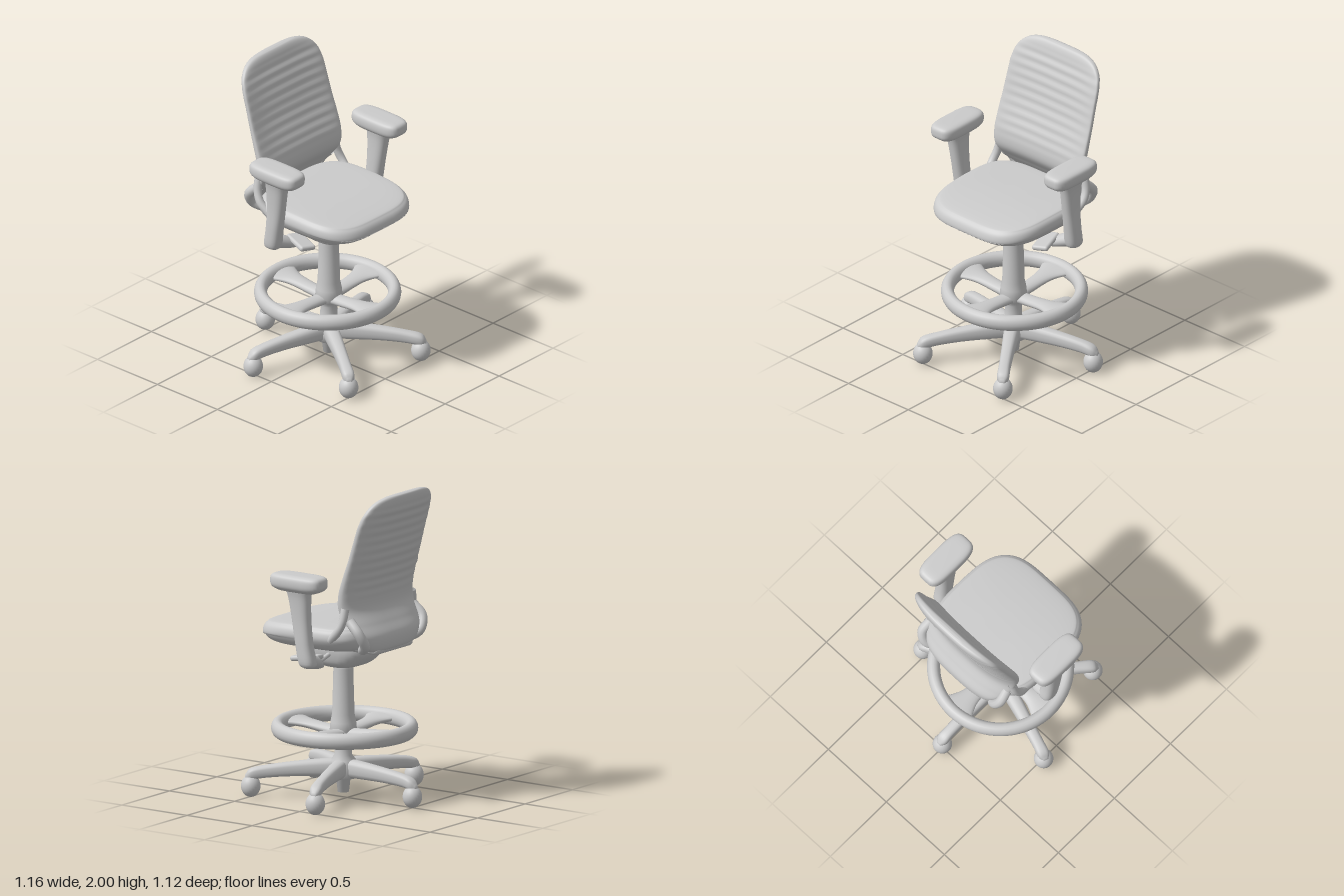
import * as THREE from 'three';
import { RoundedBoxGeometry } from 'three/addons/geometries/RoundedBoxGeometry.js';

const material = new THREE.MeshStandardMaterial({ color: 0xcccccc, side: THREE.DoubleSide });
const V = (x, y, z) => new THREE.Vector3(x, y, z);
const spow = (v, e) => Math.sign(v) * Math.abs(v) ** e;

// Lofts superellipse sections upward. Row: [y, halfWidth, halfDepth, centreX, centreZ].
// "bend(point)" optionally displaces every vertex.
function loft(rows, { power = 1, steps = 24, sides = 32, bend } = {}) {
  const size = new THREE.CatmullRomCurve3(rows.map(r => V(r[0], r[1], r[2])), false, 'catmullrom', 0.5);
  const centre = new THREE.CatmullRomCurve3(rows.map(r => V(r[3] || 0, 0, r[4] || 0)), false, 'catmullrom', 0.5);
  const pos = [], index = [];
  const push = p => { if (bend) bend(p); pos.push(p.x, p.y, p.z); };
  for (let i = 0; i <= steps; i++) {
    const s = size.getPoint(i / steps), c = centre.getPoint(i / steps);
    for (let j = 0; j < sides; j++) {
      const a = j / sides * Math.PI * 2;
      push(V(c.x + s.y * spow(Math.sin(a), power), s.x, c.z + s.z * spow(Math.cos(a), power)));
      if (i < steps) {
        const k = (j + 1) % sides, o = i * sides, n = o + sides;
        index.push(o + j, o + k, n + j, o + k, n + k, n + j);
      }
    }
  }
  const base = (steps + 1) * sides;
  for (const i of [0, steps]) {
    const s = size.getPoint(i / steps), c = centre.getPoint(i / steps);
    push(V(c.x, s.x, c.z));
    for (let j = 0; j < sides; j++) {
      const a = i * sides + j, b = i * sides + (j + 1) % sides;
      if (i) index.push(base + 1, a, b); else index.push(base, b, a);
    }
  }
  const g = new THREE.BufferGeometry();
  g.setAttribute('position', new THREE.Float32BufferAttribute(pos, 3));
  g.setIndex(index);
  g.computeVertexNormals();
  return g;
}

const tube = (points, r) =>
  new THREE.TubeGeometry(new THREE.CatmullRomCurve3(points), 24, r, 12);

function add(parent, name, geometry, x = 0, y = 0, z = 0) {
  const mesh = new THREE.Mesh(geometry, material);
  mesh.name = name;
  mesh.position.set(x, y, z);
  parent.add(mesh);
  return mesh;
}

function makeArm() {
  const arm = new THREE.Group();
  add(arm, 'armPad', loft([
    [1.39, 0.03, 0.07], [1.395, 0.06, 0.14], [1.42, 0.085, 0.183], [1.455, 0.091, 0.19],
    [1.485, 0.084, 0.183], [1.498, 0.06, 0.15], [1.5, 0.02, 0.05]], { power: 0.55 }), 0.474, 0, 0.025);
  add(arm, 'armPost', loft([
    [0.905, 0.025, 0.03, 0.445, -0.03], [0.935, 0.05, 0.055, 0.452, -0.028], [1.05, 0.048, 0.056, 0.46, -0.008],
    [1.2, 0.046, 0.062, 0.464, 0.01], [1.34, 0.05, 0.075, 0.47, 0.02], [1.41, 0.06, 0.09, 0.473, 0.025]],
    { power: 0.8 }));
  // Elbow tapering down and inward, with a thin bar to the mechanism
  add(arm, 'armElbow', loft([
    [0, 0.045, 0.05, 0, 0], [0.08, 0.042, 0.058, 0, 0.01], [0.15, 0.032, 0.045, 0, 0.03], [0.22, 0.012, 0.02, 0, 0.045]],
    { sides: 20 }).rotateZ(Math.PI / 2 + 0.38), 0.455, 0.96, -0.03);
  add(arm, 'armBar', tube([V(0.32, 0.91, 0), V(0.25, 0.92, 0.01), V(0.15, 0.94, 0.02)], 0.014));
  const lever = add(arm, 'lever', new RoundedBoxGeometry(0.11, 0.035, 0.19, 4, 0.016), 0.315, 0.935, 0.08);
  lever.rotation.set(0.1, 0.3, 0.1);
  // Brackets tying the edge of the backrest to the seat
  add(arm, 'backBracket', tube([V(0.35, 1.29, -0.24), V(0.37, 1.2, -0.23), V(0.38, 1.14, -0.2), V(0.37, 1.08, -0.14)], 0.026));
  add(arm, 'rearBracket', tube([V(0.33, 1.21, -0.26), V(0.335, 1.14, -0.33), V(0.29, 1.06, -0.345), V(0.22, 1.01, -0.28)], 0.032));
  return arm;
}

export function createModel() {
  const chair = new THREE.Group();
  chair.name = 'drafting chair';
  const axisZ = 0.03;

  // Five-legged base with ball casters, one leg pointing straight back
  [0.535, 0.546, 0.57, 0.57, 0.546].forEach((reach, i) => {
    const leg = new THREE.Group();
    leg.name = 'baseLeg';
    leg.position.z = axisZ + 0.005;
    leg.rotation.y = Math.PI + i * Math.PI * 2 / 5;
    add(leg, 'legBeam', loft([
      [0, 0.05, 0.06, 0, -0.19], [0.14, 0.047, 0.055, 0, -0.187], [0.32, 0.04, 0.046, 0, -0.178],
      [0.47, 0.037, 0.04, 0, -0.163], [reach, 0.037, 0.036, 0, -0.145], [reach + 0.035, 0.014, 0.014, 0, -0.125]],
      { power: 0.75, sides: 20 }).rotateX(Math.PI / 2));
    add(leg, 'caster', new THREE.SphereGeometry(0.061, 24, 16), 0, 0.07, reach).scale.y = 1.148;
    chair.add(leg);
  });

  // Gas lift column with the hubs of the base and the foot ring
  const profile = [[0, 0.03], [0.035, 0.035], [0.045, 0.12], [0.08, 0.125], [0.09, 0.18], [0.078, 0.24],
    [0.055, 0.27], [0.052, 0.36], [0.068, 0.39], [0.085, 0.43], [0.08, 0.48], [0.07, 0.53],
    [0.065, 0.7], [0.062, 0.82], [0.07, 0.88], [0, 0.88]];
  add(chair, 'column', new THREE.LatheGeometry(profile.map(p => new THREE.Vector2(...p)), 32), 0, 0, axisZ);

  // Foot ring and its spokes, which rise and widen toward the rim
  const ring = new THREE.Group();
  ring.name = 'footRing';
  ring.position.z = 0.02;
  add(ring, 'ringTube', new THREE.TorusGeometry(0.416, 0.041, 16, 72).rotateX(Math.PI / 2), 0, 0.443, 0).scale.y = 1.25;
  for (let i = 0; i < 4; i++) {
    add(ring, 'ringSpoke', loft([
      [0, 0.055, 0.035, 0, -0.41], [0.12, 0.05, 0.032, 0, -0.418], [0.28, 0.065, 0.028, 0, -0.435],
      [0.41, 0.13, 0.026, 0, -0.445]], { sides: 20 }).rotateX(Math.PI / 2)).rotation.y = i * Math.PI / 2;
  }
  chair.add(ring);

  // Tilt mechanism under the seat
  add(chair, 'mechanism', loft([
    [0.835, 0.04, 0.04, 0, 0.04], [0.84, 0.1, 0.1, 0, 0.04], [0.87, 0.148, 0.175, 0, 0.035], [0.93, 0.17, 0.225, 0, 0.02],
    [0.99, 0.175, 0.238, 0, 0.015], [1.03, 0.16, 0.23, 0, 0.015]], { power: 0.7 }));
  add(chair, 'tiltYoke', new RoundedBoxGeometry(0.4, 0.06, 0.24, 4, 0.028), 0, 1.01, -0.25);

  // Seat cushion, dipping and narrowing toward the front
  add(chair, 'seat', loft([
    [0.99, 0.2, 0.2, 0, 0.06], [0.995, 0.3, 0.29, 0, 0.07], [1.02, 0.365, 0.36, 0, 0.085],
    [1.07, 0.402, 0.39, 0, 0.088], [1.11, 0.404, 0.388, 0, 0.088], [1.14, 0.385, 0.37, 0, 0.085],
    [1.153, 0.34, 0.33, 0, 0.08], [1.155, 0.1, 0.1, 0, 0.08]], {
    power: 0.5, steps: 36, sides: 64,
    bend: p => {
      p.y -= 0.03 * Math.max(0, p.z) ** 2 / 0.2 * (p.y > 1.07 ? 1 : 0.2);
      if (p.z > 0) p.x *= 1 - 1.1 * p.z ** 3;
    },
  }));

  // Curved, ribbed backrest whose lower edge tucks behind the seat
  add(chair, 'backrest', loft([
    [0.985, 0.16, 0.025, 0, -0.32], [1.02, 0.24, 0.036, 0, -0.347], [1.1, 0.29, 0.038, 0, -0.352],
    [1.18, 0.345, 0.045, 0, -0.307], [1.27, 0.365, 0.055, 0, -0.258], [1.37, 0.372, 0.057, 0, -0.26],
    [1.48, 0.372, 0.051, 0, -0.29], [1.6, 0.368, 0.045, 0, -0.328], [1.72, 0.364, 0.043, 0, -0.362],
    [1.83, 0.359, 0.042, 0, -0.395], [1.91, 0.335, 0.039, 0, -0.42], [1.965, 0.28, 0.034, 0, -0.432],
    [1.992, 0.2, 0.024, 0, -0.437], [2.0, 0.09, 0.008, 0, -0.438]], {
    power: 0.7, steps: 120, sides: 64,
    bend: p => {
      const u = Math.min(1, Math.abs(p.x) / 0.37);
      const fade = THREE.MathUtils.smoothstep(p.y, 1.3, 1.45) * (1 - THREE.MathUtils.smoothstep(p.y, 1.88, 1.96));
      p.z += 0.045 * u ** 3 + 0.003 * fade * (1 - u ** 4) * Math.sin(p.y * 105);
    },
  }));

  // Armrests, mirrored
  for (const side of [1, -1]) {
    const arm = makeArm();
    arm.name = side > 0 ? 'leftArm' : 'rightArm';
    arm.scale.x = side;
    chair.add(arm);
  }
  return chair;
}
